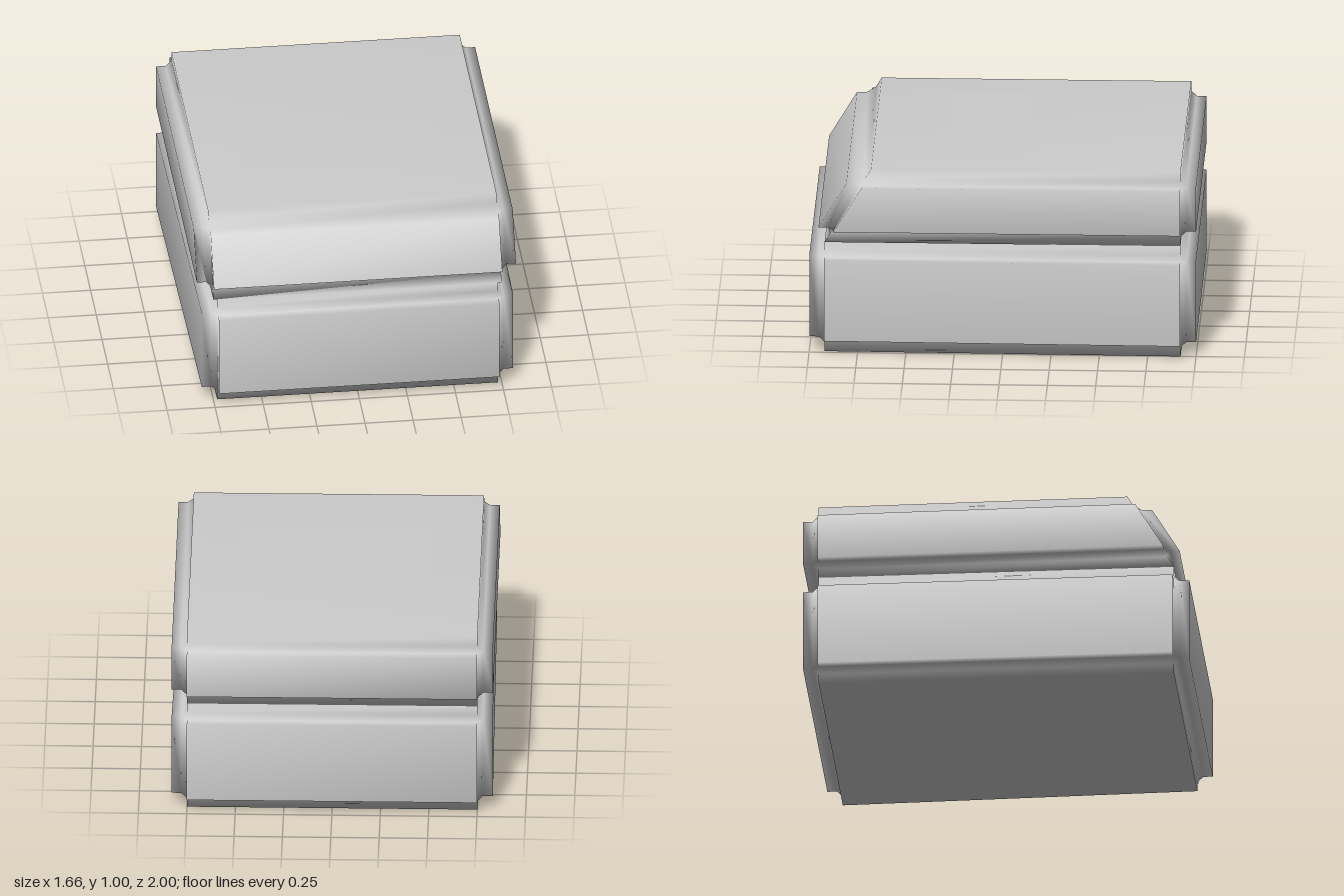
import * as THREE from 'three';

const INSET = 0.08; // width of the notch cut along every edge
const DEPTH = 0.05; // how far each raised panel stands proud of the notch

// A box whose six faces are raised panels, joined by chamfered notches.
// warp(point) reshapes the finished vertices.
function paneledBox(width, height, depth, warp) {
  const half = [width / 2, height / 2, depth / 2];
  const positions = [];
  const index = [];
  const points = [];
  const lookup = new Map();

  // Vertex of the panel on `axis`, at the corner given by signs, on its outer or inner rim.
  function vertex(axis, signs, inner) {
    const key = `${axis}|${signs}|${inner}`;
    if (!lookup.has(key)) {
      const p = half.map((h, i) => signs[i] * (h - (i === axis ? (inner ? DEPTH : 0) : INSET)));
      lookup.set(key, points.length);
      points.push(new THREE.Vector3(...p));
    }
    return lookup.get(key);
  }

  // Add a triangle or quad, wound so that it faces along `out`.
  function face(ids, out) {
    const [a, b, c] = ids.map((i) => points[i]);
    const normal = b.clone().sub(a).cross(c.clone().sub(a));
    const f = normal.dot(new THREE.Vector3(...out)) < 0 ? [...ids].reverse() : ids;
    for (let i = 1; i < f.length - 1; i++) index.push(f[0], f[i], f[i + 1]);
  }

  const signsOf = (axis, s, b, sb, c, sc) => {
    const v = [0, 0, 0];
    v[axis] = s; v[b] = sb; v[c] = sc;
    return v;
  };
  const direction = (axis, s) => signsOf(axis, s, (axis + 1) % 3, 0, (axis + 2) % 3, 0);

  for (let a = 0; a < 3; a++) {
    const b = (a + 1) % 3;
    const c = (a + 2) % 3;
    for (const s of [-1, 1]) {
      // Panel and its four rim walls
      const ring = [[-1, -1], [1, -1], [1, 1], [-1, 1]].map(([u, v]) => signsOf(a, s, b, u, c, v));
      face(ring.map((r) => vertex(a, r, false)), direction(a, s));
      ring.forEach((r, i) => {
        const n = ring[(i + 1) % 4];
        const side = r.map((v, k) => (k !== a && v === n[k] ? v : 0));
        face([vertex(a, r, false), vertex(a, n, false), vertex(a, n, true), vertex(a, r, true)], side);
      });
      // Chamfers between this panel and those on axis b
      for (const t of [-1, 1]) {
        const p = signsOf(a, s, b, t, c, -1);
        const q = signsOf(a, s, b, t, c, 1);
        face([vertex(a, p, true), vertex(a, q, true), vertex(b, q, true), vertex(b, p, true)],
          signsOf(a, s, b, t, c, 0));
      }
    }
  }
  // Corner facets
  for (const x of [-1, 1]) for (const y of [-1, 1]) for (const z of [-1, 1]) {
    const corner = [x, y, z];
    face([0, 1, 2].map((axis) => vertex(axis, corner, true)), corner);
  }

  for (const p of points) {
    p.y += half[1];
    warp(p);
    positions.push(p.x, p.y, p.z);
  }
  const geometry = new THREE.BufferGeometry();
  geometry.setAttribute('position', new THREE.Float32BufferAttribute(positions, 3));
  geometry.setIndex(index);
  geometry.computeVertexNormals();
  return geometry;
}

export function createModel() {
  const group = new THREE.Group();
  const material = new THREE.MeshStandardMaterial({ color: 0xcccccc });

  function add(name, geometry, y, mat = material) {
    const mesh = new THREE.Mesh(geometry, mat);
    mesh.name = name;
    mesh.position.y = y;
    group.add(mesh);
    return mesh;
  }

  // Lower body, slightly narrower at the front
  add('lowerBody', paneledBox(1.66, 0.6, 2, (p) => {
    if (p.z > 0) p.x -= Math.sign(p.x) * 0.02;
  }), 0);

  // Upper body, front leaning back
  add('upperBody', paneledBox(1.66, 0.4, 2, (p) => {
    if (p.z > 0) p.z -= 0.6 * p.y;
  }), 0.6);

  // Flat plate lying on the roof
  const plateMaterial = new THREE.MeshStandardMaterial({ color: 0xcccccc, side: THREE.DoubleSide });
  const plate = add('roofPlate', new THREE.PlaneGeometry(1, 0.4).rotateX(-Math.PI / 2), 1.002, plateMaterial);
  plate.position.z = 0.1;

  return group;
}
